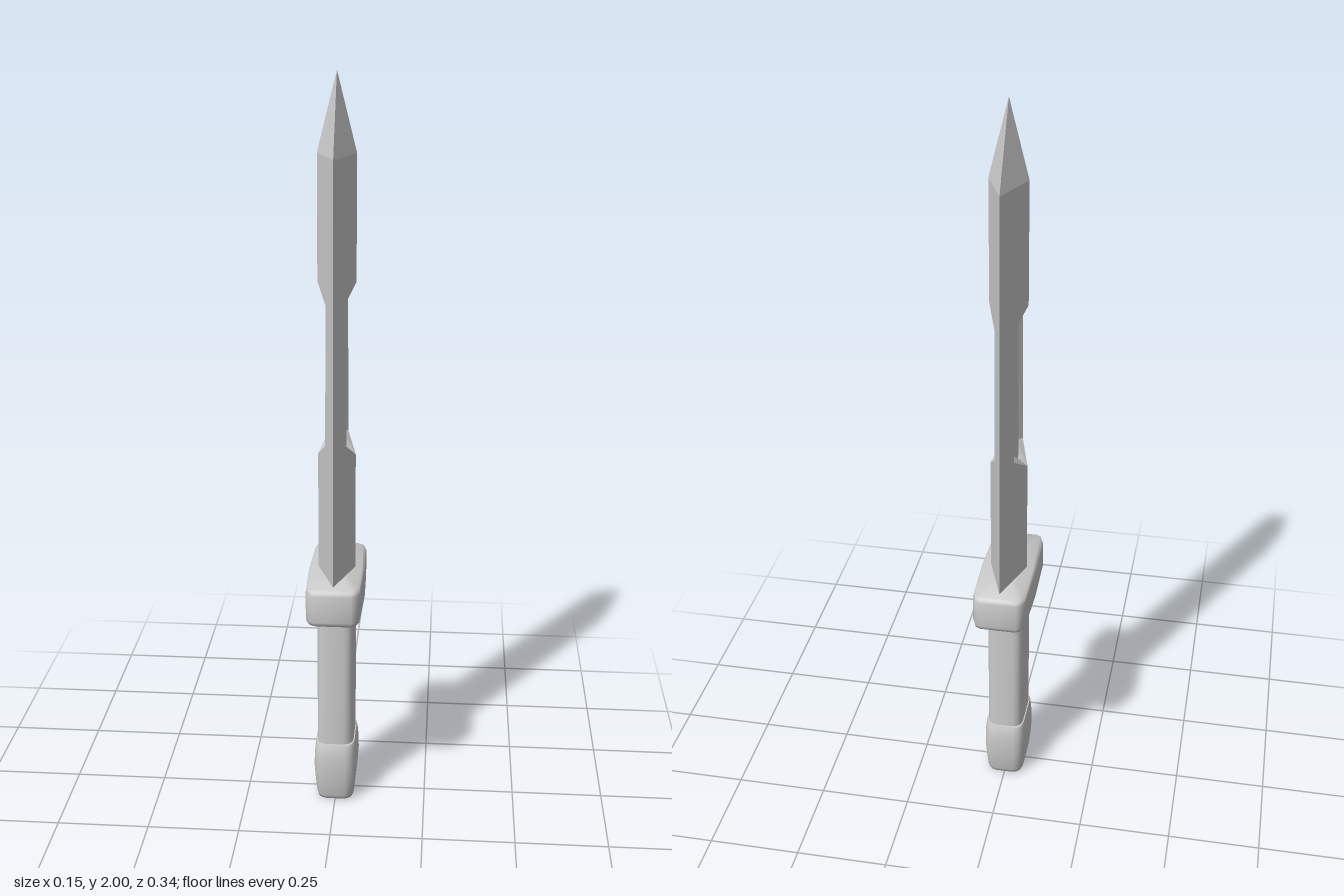
import * as THREE from 'three';
import { toCreasedNormals } from 'three/addons/utils/BufferGeometryUtils.js';

const material = new THREE.MeshStandardMaterial({ color: 0xcccccc });
const bladeMaterial = new THREE.MeshStandardMaterial({ color: 0xcccccc, flatShading: true });

// Mirror a quarter outline, from (x, 0) to (0, z), into a full ring
function fullRing(q) {
  return [
    ...q,
    ...q.slice(0, -1).reverse().map(([x, z]) => [-x, z]),
    ...q.slice(1).map(([x, z]) => [-x, -z]),
    ...q.slice(1, -1).reverse().map(([x, z]) => [x, -z]),
  ];
}

// Stack scaled copies of a quarter outline; levels are [y, scaleX, scaleZ]
function loft(name, quarter, levels) {
  const ring = fullRing(quarter);
  const n = ring.length;
  const pos = [];
  const index = [];
  const first = levels[0][0];
  const last = levels[levels.length - 1][0];
  for (const [y, sx, sz] of levels) for (const [x, z] of ring) pos.push(x * sx, y, z * sz);
  for (let i = 0; i < levels.length - 1; i++) {
    for (let j = 0; j < n; j++) {
      const a = i * n + j;
      const b = i * n + ((j + 1) % n);
      index.push(a, a + n, b, b, a + n, b + n);
    }
  }
  // End caps
  const bottom = pos.length / 3;
  pos.push(0, first, 0, 0, last, 0);
  const topRow = (levels.length - 1) * n;
  for (let j = 0; j < n; j++) {
    const k = (j + 1) % n;
    index.push(bottom, j, k, bottom + 1, topRow + k, topRow + j);
  }
  const geometry = new THREE.BufferGeometry();
  geometry.setAttribute('position', new THREE.Float32BufferAttribute(pos, 3));
  geometry.setIndex(index);
  const mesh = new THREE.Mesh(toCreasedNormals(geometry, 0.9), material);
  mesh.name = name;
  return mesh;
}

// Diamond-section blade with a sunken hexagonal panel on each broad side
function makeBlade() {
  // One quarter: base, ridge, edge and tip
  const base = [0.05, 0.67, 0];
  const edgeBase = [0, 0.67, 0.14];
  const shoulder = [0.05, 1.8, 0];
  const edgeTop = [0, 1.8, 0.12];
  const tip = [0, 2, 0];
  // Panel rim and floor, from bottom point to top point
  const rim = [[0.05, 1.01, 0], [0.0256, 1.055, 0.065], [0.0243, 1.43, 0.065], [0.05, 1.475, 0]];
  const floor = [[0.025, 1.03, 0], [0.009, 1.065, 0.043], [0.009, 1.42, 0.043], [0.025, 1.45, 0]];
  const tris = [
    [base, rim[0], rim[1]], [base, rim[1], edgeBase],
    [edgeBase, rim[1], rim[2]], [edgeBase, rim[2], edgeTop],
    [rim[2], rim[3], shoulder], [rim[2], shoulder, edgeTop],
    [shoulder, tip, edgeTop],
    [floor[0], floor[3], floor[2]], [floor[0], floor[2], floor[1]],
  ];
  for (let i = 0; i < 3; i++) {
    tris.push([rim[i], floor[i], floor[i + 1]], [rim[i], floor[i + 1], rim[i + 1]]);
  }
  // Mirror the quarter, reversing corners where the mirror flips them
  const pos = [];
  for (const sx of [1, -1]) {
    for (const sz of [1, -1]) {
      for (const [a, b, c] of tris) {
        for (const [x, y, z] of sx * sz > 0 ? [a, b, c] : [a, c, b]) pos.push(x * sx, y, z * sz);
      }
    }
  }
  const geometry = new THREE.BufferGeometry();
  geometry.setAttribute('position', new THREE.Float32BufferAttribute(pos, 3));
  geometry.computeVertexNormals();
  const blade = new THREE.Mesh(geometry, bladeMaterial);
  blade.name = 'blade';
  return blade;
}

export function createModel() {
  const group = new THREE.Group();
  group.name = 'dagger';

  // Quarter outlines
  const guardOutline = [[0.076, 0], [0.072, 0.142], [0.063, 0.164], [0.05, 0.172], [0, 0.172]];
  const gripOutline = [[0.05, 0], [0.05, 0.045], [0.046, 0.062], [0.037, 0.072], [0.025, 0.076], [0, 0.076]];

  group.add(
    makeBlade(),
    loft('guard', guardOutline, [
      [0.583, 0.9, 0.95], [0.587, 0.97, 0.985], [0.597, 1, 1],
      [0.672, 1, 1], [0.682, 0.97, 0.985], [0.686, 0.9, 0.95],
    ]),
    loft('grip', gripOutline, [[0.16, 1, 1], [0.6, 1, 1]]),
    loft('pommel', gripOutline, [
      [0, 0.88, 0.92], [0.004, 0.98, 1.0], [0.015, 1.04, 1.05],
      [0.06, 1.13, 1.13], [0.1, 1.18, 1.19], [0.14, 1.16, 1.18],
      [0.172, 1.1, 1.13], [0.178, 1.06, 1.1],
    ]),
  );
  return group;
}
